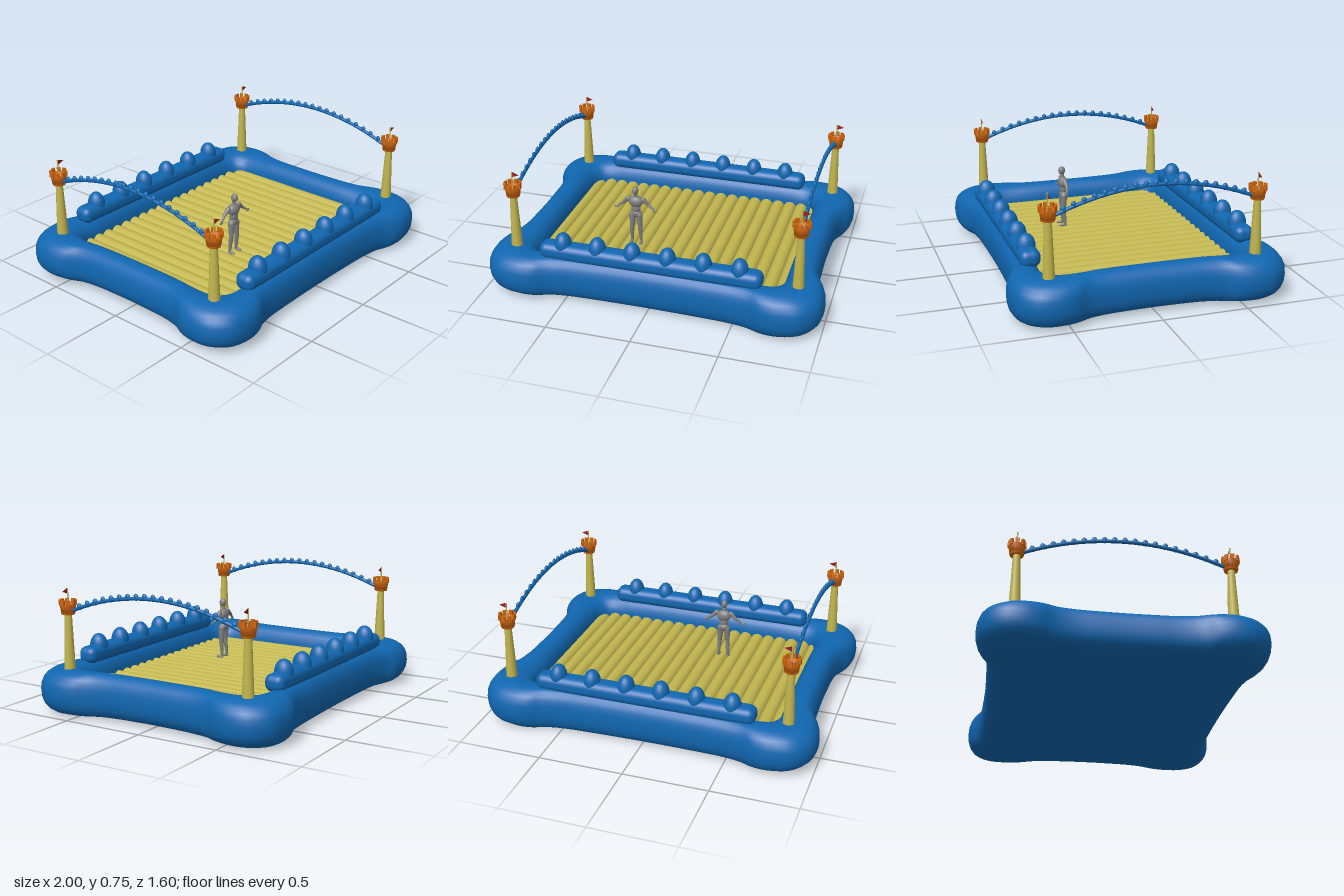
import * as THREE from 'three';
import { RoundedBoxGeometry } from 'three/addons/geometries/RoundedBoxGeometry.js';

const mat = (color, side = THREE.FrontSide) => new THREE.MeshStandardMaterial({ color, side });
const BLUE = mat(0x1167b1), YELLOW = mat(0xc2b64f), ORANGE = mat(0xd0660f, THREE.DoubleSide);
const RED = mat(0x9c1c24, THREE.DoubleSide), GREY = mat(0x808080);

function add(parent, name, geometry, material, x = 0, y = 0, z = 0) {
  const mesh = new THREE.Mesh(geometry, material);
  mesh.name = name;
  mesh.position.set(x, y, z);
  parent.add(mesh);
  return mesh;
}

// One quarter of the ring: outer x, z and inner x, z
const QUARTER = [
  [0, .72, 0, .57], [.3, .725, .3, .57], [.5, .735, .45, .57], [.6, .755, .55, .57],
  [.68, .79, .62, .57], [.78, .8, .67, .565], [.9, .77, .715, .54], [.98, .68, .74, .49],
  [1, .575, .745, .45], [.985, .48, .745, .38], [.945, .4, .745, .3], [.925, .3, .745, .2],
  [.918, .15, .745, .1], [.915, 0, .745, 0],
];

// Inflated ring with swollen corners, closed underneath
function ringGeometry() {
  const back = [...QUARTER].reverse();
  const loop = [
    ...QUARTER,
    ...back.slice(1).map(([a, b, c, d]) => [a, -b, c, -d]),
    ...QUARTER.slice(1).map(([a, b, c, d]) => [-a, -b, -c, -d]),
    ...back.slice(1, -1).map(([a, b, c, d]) => [-a, b, -c, d]),
  ];
  const curve = (i) => new THREE.CatmullRomCurve3(
    loop.map((p) => new THREE.Vector3(p[i], 0, p[i + 1])), true);
  const outer = curve(0), inner = curve(2);
  const N = 208, M = 24, pos = [], idx = [];
  const soft = (v) => Math.sign(v) * Math.abs(v) ** 0.85;
  for (let i = 0; i < N; i++) {
    const o = outer.getPoint(i / N), n = inner.getPoint(i / N);
    for (let j = 0; j < M; j++) {
      const a = (j / M) * Math.PI * 2;
      const p = n.clone().lerp(o, 0.5 + 0.5 * soft(Math.cos(a)));
      const low = Math.max(0, .009 * (1 - p.x) + .015 * (1 - (p.z / .7) ** 2));
      const s = soft(Math.sin(a));
      pos.push(p.x, .14 + s * (s > 0 ? .127 : .14 - low), p.z);
      const i2 = (i + 1) % N, j2 = (j + 1) % M;
      idx.push(i * M + j, i2 * M + j, i * M + j2, i2 * M + j, i2 * M + j2, i * M + j2);
    }
  }
  const centre = pos.length / 3, low = M * 0.75;
  pos.push(0, .024, 0);
  for (let i = 0; i < N; i++) idx.push(centre, ((i + 1) % N) * M + low, i * M + low);
  const g = new THREE.BufferGeometry();
  g.setAttribute('position', new THREE.Float32BufferAttribute(pos, 3));
  g.setIndex(idx);
  g.computeVertexNormals();
  return g;
}

// Padded rail with six rounded bumps
function makeRail(z) {
  const rail = new THREE.Group();
  rail.name = 'sideRail';
  add(rail, 'railPad', new RoundedBoxGeometry(1.315, .1, .118, 5, .042), BLUE, 0, .295, 0);
  for (let i = 0; i < 6; i++) {
    const bump = add(rail, 'railBump', new THREE.SphereGeometry(1, 20, 14), BLUE, -.52 + i * .209, .335, 0);
    bump.scale.set(.05, .075, .056);
  }
  rail.position.z = z;
  return rail;
}

// Tapered post, battlement crown and pennant
function makeTower(x, z) {
  const tower = new THREE.Group();
  tower.name = 'cornerTower';
  add(tower, 'post', new THREE.CylinderGeometry(.02, .034, .36, 20), YELLOW, 0, .42, 0);
  add(tower, 'crownBase', new THREE.CylinderGeometry(.042, .038, .012, 16), ORANGE, 0, .59, 0);
  const wall = [[0, .6], [.039, .59], [.048, .645], [.039, .645], [.035, .615], [0, .615]];
  add(tower, 'crownWall', new THREE.LatheGeometry(wall.map((p) => new THREE.Vector2(...p)), 16), ORANGE);
  for (let i = 0; i < 8; i++) {
    const a = (i / 8) * Math.PI * 2;
    const tooth = add(tower, 'crownTooth', new THREE.BoxGeometry(.022, .034, .012), ORANGE,
      Math.sin(a) * .045, .653, Math.cos(a) * .045);
    tooth.rotation.y = a;
  }
  add(tower, 'flagPole', new THREE.CylinderGeometry(.004, .004, .13, 8), YELLOW, 0, .67, 0);
  const flag = new THREE.Shape([[0, .703], [.045, .72], [0, .737]].map((p) => new THREE.Vector2(...p)));
  add(tower, 'flag', new THREE.ShapeGeometry(flag), RED);
  tower.position.set(x, 0, z);
  return tower;
}

// Beaded arch between two towers
function makeArch(x) {
  const arch = new THREE.Group();
  arch.name = 'arch';
  const height = (z) => .723 - .36 * z * z;
  const pts = [];
  for (let i = 0; i <= 12; i++) {
    const z = -.57 + i * .095;
    pts.push(new THREE.Vector3(0, height(z), z));
  }
  add(arch, 'archTube', new THREE.TubeGeometry(new THREE.CatmullRomCurve3(pts), 48, .0105, 10), BLUE);
  for (let i = -9; i <= 9; i++) {
    const z = i * .057;
    const bead = add(arch, 'archBead', new THREE.SphereGeometry(1, 10, 8), BLUE, 0, height(z) + .008, z);
    bead.scale.set(.011, .02, .016);
    bead.rotation.x = Math.atan(.72 * z);
  }
  arch.position.set(x, 0, -.005);
  return arch;
}

// Standing figure with arms held out
function makeFigure() {
  const figure = new THREE.Group();
  figure.name = 'figure';
  const ball = (name, p, s) => add(figure, name, new THREE.SphereGeometry(1, 16, 12), GREY, ...p).scale.set(...s);
  const limb = (name, from, to, r1, r2) => {
    const a = new THREE.Vector3(...from), b = new THREE.Vector3(...to), d = b.clone().sub(a);
    const m = add(figure, name, new THREE.CylinderGeometry(r2, r1, d.length(), 12), GREY, ...a.clone().lerp(b, .5));
    m.quaternion.setFromUnitVectors(new THREE.Vector3(0, 1, 0), d.normalize());
    ball(name + 'Joint', from, [r1, r1, r1]);
    ball(name + 'Tip', to, [r2, r2, r2]);
  };
  ball('head', [0, .522, .006], [.018, .026, .022]);
  limb('neck', [0, .475, 0], [0, .505, .003], .012, .01);
  ball('chest', [0, .447, 0], [.045, .037, .03]);
  ball('waist', [0, .405, 0], [.029, .04, .022]);
  ball('hips', [0, .37, -.002], [.034, .027, .025]);
  for (const s of [-1, 1]) {
    limb('upperArm', [s * .046, .464, 0], [s * .076, .436, -.004], .015, .01);
    limb('forearm', [s * .076, .436, -.004], [s * .108, .412, .004], .01, .006);
    ball('hand', [s * .12, .403, .008], [.014, .009, .006]);
    limb('thigh', [s * .02, .36, 0], [s * .026, .27, .003], .021, .013);
    limb('shin', [s * .026, .27, .003], [s * .029, .183, -.005], .014, .008);
    ball('foot', [s * .031, .174, .01], [.011, .009, .026]);
  }
  figure.position.set(-.218, 0, .213);
  return figure;
}

export function createModel() {
  const model = new THREE.Group();
  model.name = 'inflatableArena';
  add(model, 'inflatedRing', ringGeometry(), BLUE);

  // Floor of side-by-side air tubes
  const floor = new THREE.Group();
  floor.name = 'floor';
  for (let i = 0; i < 20; i++) {
    const tube = add(floor, 'floorTube', new THREE.CylinderGeometry(.041, .041, 1.2, 16),
      YELLOW, (i - 9.5) * .0775, .126, 0);
    tube.rotation.x = Math.PI / 2;
  }
  model.add(floor);

  for (const s of [-1, 1]) {
    model.add(makeRail(s * .637));
    model.add(makeArch(s * .84 + .008));
    for (const t of [-1, 1]) model.add(makeTower(s * .84 + .008, t * .598 - .005));
  }
  model.add(makeFigure());
  return model;
}
